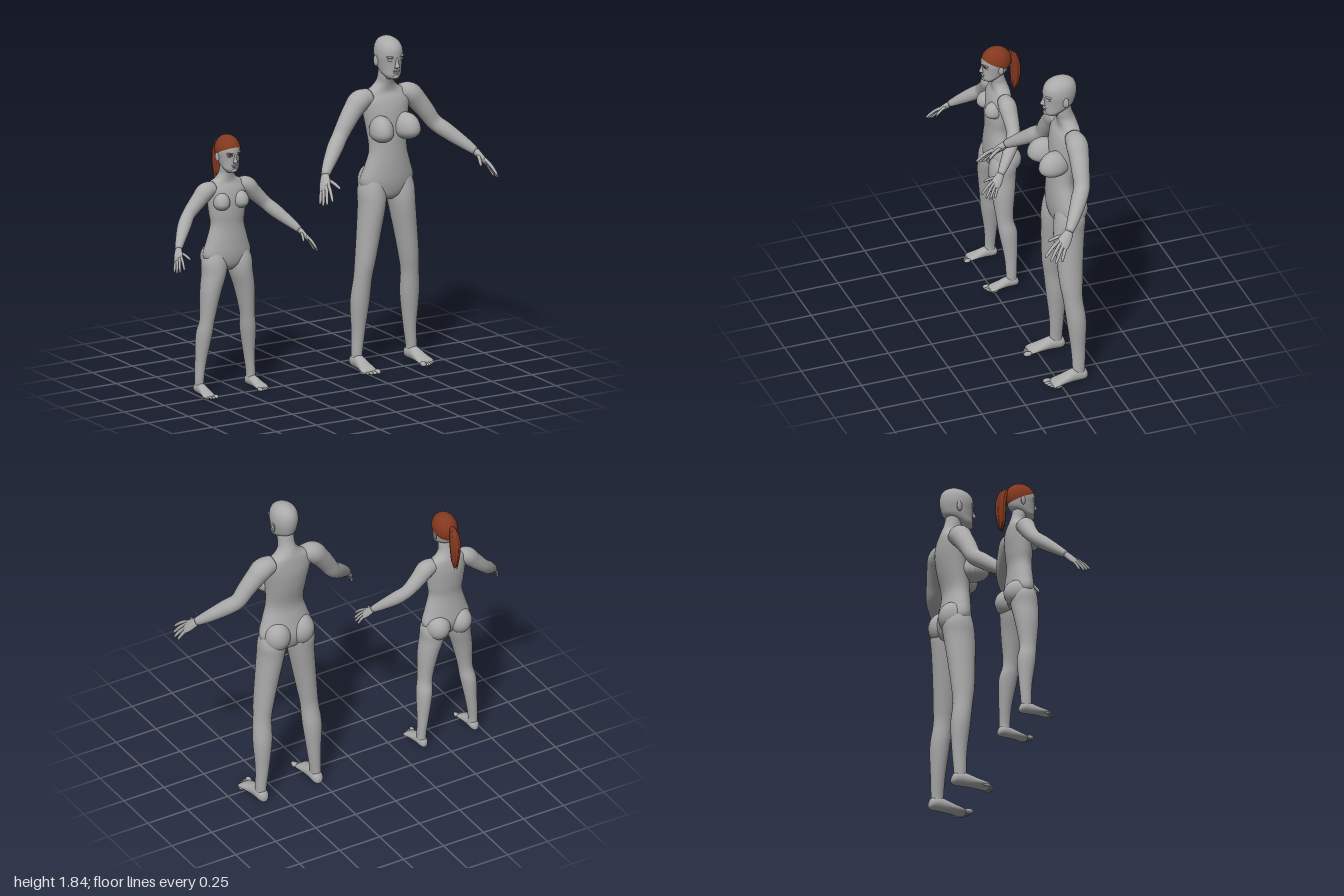
import * as THREE from 'three';

const mat = (name, color) => Object.assign(new THREE.MeshStandardMaterial({ color }), { name });
const V = (x, y, z) => new THREE.Vector3(x, y, z);
const X = V(1, 0, 0), Y = V(0, 1, 0), Z = V(0, 0, 1);

// Smooth closed skin through rows of [x, y, z, halfWidth, halfDepth].
// dir fixes the ring direction; otherwise rings follow the path.
function loft(rows, { dir = null, ref = X, n = 24, steps = 5, ridge = 0 } = {}) {
  const path = new THREE.CatmullRomCurve3(rows.map(r => V(r[0], r[1], r[2])), false, 'catmullrom');
  const size = new THREE.CatmullRomCurve3(rows.map(r => V(r[3], r[4], 0)), false, 'catmullrom');
  const m = (rows.length - 1) * steps, pos = [], idx = [];
  for (let i = 0; i <= m; i++) {
    const c = path.getPoint(i / m), r = size.getPoint(i / m);
    const t = dir || path.getTangent(i / m);
    const s = ref.clone().addScaledVector(t, -ref.dot(t)).normalize();
    const u = t.clone().cross(s);
    for (let j = 0; j < n; j++) {
      const a = j / n * Math.PI * 2, k = 1 + ridge * Math.cos(a * 8);
      const p = c.clone().addScaledVector(s, Math.max(r.x, 0.001) * k * Math.cos(a))
        .addScaledVector(u, Math.max(r.y, 0.001) * k * Math.sin(a));
      pos.push(p.x, p.y, p.z);
      if (i < m) {
        const b = i * n + j, d = i * n + (j + 1) % n;
        idx.push(b, d, d + n, b, d + n, b + n);
      }
    }
  }
  // End caps
  for (const [row, base, flip] of [[rows[0], 0, true], [rows[rows.length - 1], m * n, false]]) {
    const c = pos.length / 3;
    pos.push(row[0], row[1], row[2]);
    for (let j = 0; j < n; j++) {
      const a = base + j, b = base + (j + 1) % n;
      idx.push(...(flip ? [c, b, a] : [c, a, b]));
    }
  }
  const g = new THREE.BufferGeometry();
  g.setAttribute('position', new THREE.Float32BufferAttribute(pos, 3));
  g.setIndex(idx);
  g.computeVertexNormals();
  return g;
}

function add(parent, name, geometry, material) {
  const mesh = new THREE.Mesh(geometry, material);
  mesh.name = name;
  parent.add(mesh);
  return mesh;
}

function ball(parent, name, material, [x, y, z], [a, b, c], turn = 0, rise = 1) {
  const g = new THREE.SphereGeometry(1, 24, 18), p = g.attributes.position;
  for (let i = 0; i < p.count; i++) if (p.getY(i) > 0) p.setY(i, p.getY(i) * rise);
  g.scale(a, b, c);
  g.computeVertexNormals();
  const mesh = add(parent, name, g, material);
  mesh.position.set(x, y, z);
  mesh.rotation.y = turn;
  return mesh;
}

// Head, measured down from the crown
function head(skin) {
  const g = new THREE.Group();
  g.name = 'head';
  const rows = [[-.232, -.05, .02, .03], [-.22, -.022, .032, .036], [-.2, -.03, .05, .053],
    [-.17, -.055, .06, .08], [-.135, -.063, .067, .089], [-.095, -.065, .073, .094],
    [-.055, -.066, .069, .09], [-.025, -.07, .053, .07], [-.006, -.073, .026, .036], [0, -.073, .004, .005]];
  add(g, 'skull', loft(rows.map(([y, z, a, b]) => [0, y, z, a, b]), { dir: Y, n: 32 }), skin);
  add(g, 'nose', loft([[0, -.158, .022, .013, .01], [0, -.15, .031, .014, .015],
    [0, -.13, .028, .008, .01], [0, -.1, .021, .007, .008]], { dir: Y, n: 12 }), skin);
  ball(g, 'upperLip', skin, [0, -.174, .021], [.022, .005, .01]);
  ball(g, 'lowerLip', skin, [0, -.184, .02], [.018, .006, .01]);
  ball(g, 'chin', skin, [0, -.207, .008], [.022, .016, .02]);
  for (const s of [-1, 1]) {
    ball(g, 'ear', skin, [s * .071, -.13, -.075], [.008, .03, .017], s * -.35);
    ball(g, 'brow', skin, [s * .031, -.096, .012], [.025, .007, .013], s * .35);
    ball(g, 'eyelid', skin, [s * .03, -.112, .008], [.017, .009, .014], s * .3);
  }
  return g;
}

// Hand, measured from the wrist
function hand(s, skin, ref) {
  const g = new THREE.Group();
  g.name = 'hand';
  add(g, 'palm', loft([[0, 0, 0, .024, .02], [-.018, -.03, .028, .034, .018], [-.033, -.055, .053, .036, .013],
    [-.04, -.066, .064, .028, .006]].map(r => [-s * r[0], ...r.slice(1)]), { ref, n: 18 }), skin);
  const fingers = [[-.022, -.04, .078, -.045, -.105, .155], [-.033, -.052, .07, -.065, -.125, .13],
    [-.04, -.062, .055, -.075, -.135, .105], [-.045, -.07, .038, -.074, -.133, .07], [0, -.02, .03, .03, -.055, .11]];
  fingers.forEach(([x, y, z, tx, ty, tz], i) => {
    const rows = [[-.15, .009], [.4, .0095], [.85, .008], [.97, .005], [1, .001]].map(([t, r]) =>
      [-s * (x + (tx - x) * t), y + (ty - y) * t + .008 * Math.sin(Math.max(t, 0) * Math.PI), z + (tz - z) * t, r, r]);
    add(g, i === 4 ? 'thumb' : 'finger', loft(rows, { ref: Y, n: 10, steps: 3 }), skin);
  });
  return g;
}

// Foot, measured from the ground under the ankle
function foot(s, skin) {
  const g = new THREE.Group();
  g.name = 'foot';
  const rows = [[0, .026, -.05, .012, .014], [0, .033, -.038, .026, .031], [0, .036, -.015, .033, .036],
    [.002, .038, .03, .034, .038], [.005, .028, .085, .039, .028], [.008, .018, .135, .046, .018], [.008, .012, .16, .042, .011]];
  add(g, 'sole', loft(rows.map(r => [s * r[0], ...r.slice(1)]), { dir: Z }), skin);
  for (let i = 0; i < 5; i++) {
    const r = i ? .0095 - i * .0005 : .014;
    ball(g, 'toe', skin, [s * (-.026 + i * .018 - (i ? 0 : .002)), r, .172 - i * i * .0022], [r, r, .024]);
  }
  return g;
}

function figure(name, p, skin) {
  const g = new THREE.Group();
  g.name = name;
  add(g, 'torso', loft(p.torso.map(([y, z, a, b]) => [0, y, z, a, b]), { dir: Y, n: 36 }), skin);
  const h = head(skin);
  h.position.set(0, p.top, p.headZ);
  h.scale.setScalar(p.headScale);
  g.add(h);
  for (const s of [-1, 1]) {
    const ref = V(-s * .45, .45, .77).normalize();
    const flip = ([x, ...rest]) => [s * x, ...rest];
    add(g, 'leg', loft(p.leg.map(([y, x, z, a, b]) => [s * x, y, z, a, b]), { dir: Y }), skin);
    add(g, 'arm', loft(p.arm.map(([x, y, z, r]) => [s * x, y, z, r, r]), { ref }), skin);
    const wrist = p.arm[p.arm.length - 1], ha = hand(s, skin, ref);
    ha.position.set(s * wrist[0], wrist[1], wrist[2]);
    ha.scale.setScalar(p.limbScale);
    g.add(ha);
    const f = foot(s, skin);
    f.position.set(s * p.leg[0][1], 0, p.leg[0][2]);
    f.scale.setScalar(p.limbScale);
    g.add(f);
    ball(g, 'chest', skin, flip(p.chest[0]), p.chest[1], s * .2, p.chest[2]);
    ball(g, 'seat', skin, flip(p.seat[0]), p.seat[1]);
  }
  g.position.x = p.x;
  return { g, h };
}

const TALL = {
  x: .44, top: 1.835, headZ: 0, headScale: 1, limbScale: 1,
  torso: [[.93, -.085, .04, .04], [.96, -.085, .11, .07], [1.03, -.085, .16, .085], [1.12, -.075, .136, .078],
    [1.21, -.07, .112, .07], [1.33, -.085, .122, .078], [1.42, -.095, .138, .078], [1.48, -.102, .148, .068],
    [1.52, -.11, .125, .055], [1.545, -.108, .08, .052], [1.575, -.1, .052, .05], [1.61, -.088, .046, .048], [1.66, -.08, .045, .045]],
  leg: [[.03, .17, -.11, .03, .036], [.08, .17, -.11, .03, .035], [.2, .161, -.11, .037, .041], [.37, .155, -.102, .053, .054],
    [.5, .147, -.086, .05, .054], [.6, .135, -.08, .055, .064], [.75, .114, -.08, .064, .075], [.9, .093, -.083, .073, .087],
    [.99, .088, -.09, .076, .086], [1.08, .085, -.085, .05, .06]],
  arm: [[.09, 1.5, -.105, .045], [.155, 1.485, -.105, .06], [.2, 1.44, -.1, .055], [.25, 1.375, -.09, .049],
    [.295, 1.31, -.08, .044], [.345, 1.265, -.045, .044], [.42, 1.2, .015, .034], [.47, 1.155, .06, .023]],
  chest: [[.078, 1.325, -.005], [.065, .058, .092], 1.5],
  seat: [[.074, 1.03, -.12], [.074, .09, .075]],
};

const SHORT = {
  x: -.555, top: 1.42, headZ: -.025, headScale: .85, limbScale: .8,
  torso: [[.68, -.09, .035, .035], [.71, -.09, .1, .06], [.765, -.093, .143, .073], [.84, -.09, .124, .069],
    [.93, -.088, .1, .062], [1.0, -.09, .108, .066], [1.08, -.095, .117, .066], [1.13, -.1, .12, .058],
    [1.163, -.105, .1, .048], [1.183, -.103, .064, .045], [1.21, -.097, .043, .042], [1.24, -.09, .04, .04], [1.28, -.085, .038, .038]],
  leg: [[.03, .16, -.11, .025, .03], [.08, .16, -.11, .025, .03], [.18, .151, -.11, .031, .036], [.325, .137, -.1, .043, .051],
    [.415, .125, -.086, .04, .047], [.565, .105, -.085, .056, .065], [.66, .083, -.088, .066, .075],
    [.73, .077, -.093, .069, .075], [.8, .074, -.09, .045, .05]],
  arm: [[.075, 1.135, -.1, .038], [.128, 1.122, -.1, .049], [.165, 1.085, -.1, .045], [.205, 1.045, -.098, .04],
    [.242, 1.008, -.09, .036], [.285, .965, -.058, .037], [.34, .91, -.005, .028], [.378, .87, .035, .019]],
  chest: [[.058, 1.06, -.048], [.046, .04, .052], 1.4],
  seat: [[.067, .745, -.12], [.068, .077, .08]],
};

export function createModel() {
  const model = new THREE.Group();
  const skin = mat('grey skin', 0xaaaaaa), hair = mat('auburn hair', 0x84381f);
  const lash = mat('dark lashes', 0x5a2416);
  model.add(figure('tallFigure', TALL, skin).g);
  const { g, h } = figure('shortFigure', SHORT, skin);
  model.add(g);

  // Swept-back hair cap
  const cap = add(h, 'hairCap', new THREE.SphereGeometry(1, 32, 20, 0, Math.PI * 2, 0, Math.PI * .53), hair);
  cap.scale.set(.079, .1, .1);
  cap.position.set(0, -.092, -.068);
  cap.rotation.x = -.45;
  // Ponytail with a ridged main lock and loose tips
  add(g, 'ponytail', loft([[0, 1.14, -.19, .005, .006], [0, 1.18, -.192, .018, .02], [0, 1.25, -.195, .026, .028],
    [0, 1.32, -.19, .028, .026], [0, 1.365, -.175, .02, .02], [0, 1.385, -.16, .008, .01]],
  { dir: Y, n: 48, ridge: .1 }), hair);
  for (const [x, z, y] of [[-.01, -.198, 1.13], [.012, -.2, 1.145], [0, -.185, 1.125]]) {
    add(g, 'hairTip', loft([[x * .8, y, z, .001, .001], [x, y + .04, z, .008, .008],
      [x, y + .12, z, .012, .012]], { dir: Y, n: 8, steps: 3 }), hair);
  }
  // Painted eyelashes and brows
  for (const s of [-1, 1]) {
    ball(h, 'eyelash', lash, [s * .03, -.109, .021], [.016, .004, .003], s * .3);
    ball(h, 'eyebrow', hair, [s * .032, -.094, .0235], [.019, .003, .003], s * .35);
  }
  return model;
}
